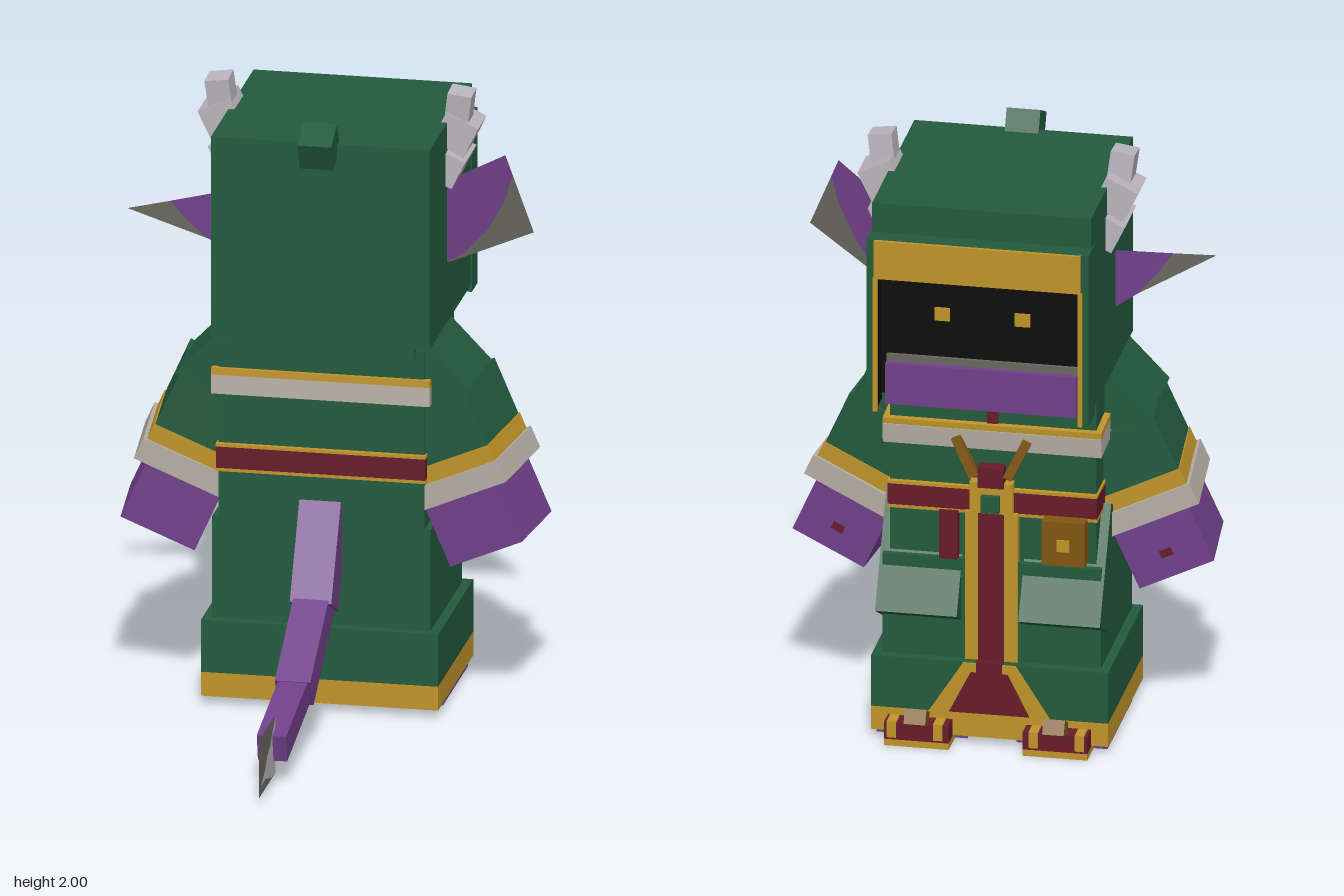
import * as THREE from 'three';

const paint = (name, color, side = THREE.FrontSide) => {
  const m = new THREE.MeshStandardMaterial({ color, side });
  m.name = name;
  return m;
};

export function createModel() {
  const green = paint('robe green', 0x235a3d);
  const gold = paint('gold trim', 0xc0942a);
  const red = paint('dark red', 0x661a28);
  const cream = paint('cream cuff', 0xb5aea4);
  const purple = paint('purple skin', 0x70408a, THREE.DoubleSide);
  const black = paint('hood black', 0x0c0c0c);
  const grey = paint('dark fur grey', 0x68675e, THREE.DoubleSide);
  const horn = paint('horn white', 0xbab3bc, THREE.DoubleSide);
  const bronze = paint('bronze', 0x80560f);

  const root = new THREE.Group();
  root.name = 'hoodedFigure';

  // Box from its minimum and maximum on each axis
  const box = (name, mat, [x0, x1], [y0, y1], [z0, z1], parent = root) => {
    const w = Math.abs(x1 - x0), h = y1 - y0, d = z1 - z0;
    const mesh = new THREE.Mesh(new THREE.BoxGeometry(w, h, d), mat);
    mesh.position.set((x0 + x1) / 2, (y0 + y1) / 2, (z0 + z1) / 2);
    mesh.name = name;
    parent.add(mesh);
    return mesh;
  };
  // Box given by centre, size and rotation
  const tilted = (name, mat, size, pos, rot = [0, 0, 0], parent = root) => {
    const mesh = new THREE.Mesh(new THREE.BoxGeometry(...size), mat);
    mesh.position.set(...pos);
    mesh.rotation.set(...rot);
    mesh.name = name;
    parent.add(mesh);
    return mesh;
  };
  const outline = pts => new THREE.Shape(pts.map(p => new THREE.Vector2(...p)));
  // Flat sheet whose corners are placed in space by a rule
  const sheet = (name, mat, pts, place) => {
    const geo = new THREE.ShapeGeometry(outline(pts));
    const p = geo.attributes.position;
    for (let i = 0; i < p.count; i++) p.setXYZ(i, ...place(p.getX(i), p.getY(i)));
    geo.computeVertexNormals();
    const mesh = new THREE.Mesh(geo, mat);
    mesh.name = name;
    root.add(mesh);
  };
  const prism = (name, mat, pts, z0, depth) => {
    const mesh = new THREE.Mesh(
      new THREE.ExtrudeGeometry(outline(pts), { depth, bevelEnabled: false }), mat);
    mesh.position.z = z0;
    mesh.name = name;
    root.add(mesh);
  };
  const sym = w => [-w, w];

  // Robe
  const hem = [green, gold].map((_, i) => i);
  box('hem', [gold, gold, gold, green, gold, gold], sym(0.385), [0.025, 0.105], [-0.67, -0.1]);
  box('lowerSkirt', green, sym(0.385), [0.105, 0.28], [-0.67, -0.1]);
  box('middleSkirt', green, sym(0.355), [0.28, 0.62], [-0.635, -0.13]);
  box('torso', green, sym(0.335), [0.62, 1.22], [-0.61, -0.13]);
  box('waistBelt', red, sym(0.34), [0.785, 0.86], [-0.625, -0.115]);
  for (const y of [0.778, 0.86])
    box('waistBeltTrim', gold, sym(0.341), [y, y + 0.01], [-0.627, -0.113]);
  tilted('chestBand', cream, [0.71, 0.065, 0.52], [0, 1.053, -0.37], [-0.07, 0, 0]);
  tilted('chestBandTrim', gold, [0.71, 0.022, 0.52], [0, 1.095, -0.37], [-0.07, 0, 0]);
  box('collarStrip', red, sym(0.018), [1.08, 1.23], [-0.617, -0.605]);

  // Sash down the middle of the robe
  box('sashBorder', gold, sym(0.085), [0.27, 0.79], [-0.643, -0.6]);
  box('sash', red, sym(0.042), [0.27, 0.79], [-0.648, -0.6]);
  prism('sashFootBorder', gold,
    [[-0.085, 0.28], [-0.2, 0.1], [0.2, 0.1], [0.085, 0.28]], -0.676, 0.008);
  prism('sashFoot', red,
    [[-0.06, 0.25], [-0.13, 0.11], [0.13, 0.11], [0.06, 0.25]], -0.681, 0.006);
  box('sashLink', red, sym(0.042), [0.25, 0.285], [-0.68, -0.63]);

  // Buckle, gem, pouch and strap
  box('buckle', gold, sym(0.07), [0.77, 0.895], [-0.648, -0.61]);
  box('buckleTop', red, sym(0.042), [0.88, 0.95], [-0.655, -0.605]);
  box('gem', green, sym(0.03), [0.8, 0.855], [-0.67, -0.64]);
  box('pouch', bronze, [-0.31, -0.17], [0.64, 0.79], [-0.675, -0.6]);
  box('pouchClasp', gold, [-0.26, -0.22], [0.69, 0.73], [-0.681, -0.674]);
  box('strap', red, [0.11, 0.17], [0.62, 0.785], [-0.64, -0.6]);

  // Head and hood
  box('hood', green, sym(0.355), [1.23, 1.9], [-0.78, -0.11]);
  box('hoodNape', green, sym(0.305), [1.19, 1.24], [-0.55, -0.11]);
  box('hoodBrow', green, sym(0.355), [1.8, 1.9], [-0.8, -0.77]);
  box('hoodRimTop', [green, green, green, black, green, green],
    sym(0.36), [1.67, 1.8], [-0.865, -0.775]);
  box('browBand', gold, sym(0.335), [1.67, 1.8], [-0.877, -0.864]);
  box('faceShadow', black, sym(0.336), [1.24, 1.68], [-0.785, -0.775]);
  box('mouthFur', grey, sym(0.31), [1.35, 1.38], [-0.795, -0.78]);
  box('muzzle', purple, sym(0.31), [1.215, 1.355], [-0.815, -0.55]);

  // Tuft on top of the hood
  tilted('hoodTuft', green, [0.11, 0.1, 0.11], [0, 1.9, -0.083], [0.44, 0, 0]);

  for (const s of [-1, 1]) {
    const span = (a, b) => [s * a, s * b];
    box('hoodRimSide', green, span(0.335, 0.36), [1.21, 1.8], [-0.865, -0.77]);
    box('hoodLining', black, span(0.329, 0.336), [1.215, 1.67], [-0.86, -0.775]);
    box('rimTrim', gold, span(0.325, 0.34), [1.21, 1.67], [-0.873, -0.86]);
    box('eye', gold, span(0.105, 0.155), [1.505, 1.55], [-0.79, -0.783]);

    // Stacked horn
    tilted('hornBase', horn, [0.09, 0.1, 0.19], [s * 0.355, 1.75, -0.467], [0, 0, -s * 0.45]);
    tilted('hornMiddle', horn, [0.115, 0.11, 0.14], [s * 0.38, 1.86, -0.465], [0, 0, -s * 0.45]);
    tilted('hornTip', horn, [0.078, 0.12, 0.085], [s * 0.387, 1.937, -0.442], [0.08, 0, -s * 0.13]);

    // Sloping shoulder cape
    const cape = [[0.1, 1.23], [0.345, 1.23], [0.48, 1.09], [0.3, 1.02], [0.1, 1.02]];
    prism('shoulderCape', green, cape.map(([x, y]) => [s * x, y]), -0.48, 0.34);

    // Arm: sleeve, trims and hand hang from the shoulder
    const arm = new THREE.Group();
    arm.name = 'arm';
    arm.position.set(s * 0.371, 1.048, -0.315);
    arm.rotation.set(0, -s * 0.1, s * 0.42, 'YZX');
    root.add(arm);
    box('sleeve', green, span(-0.14, 0.116), [-0.2, 0], sym(0.17), arm);
    box('sleeveTrim', gold, span(-0.165, 0.12), [-0.25, -0.195], sym(0.174), arm);
    box('cuff', cream, span(-0.18, 0.132), [-0.325, -0.25], sym(0.185), arm);
    box('hand', purple, span(-0.17, 0.09), [-0.53, -0.32], sym(0.162), arm);
    box('handMark', red, span(-0.06, -0.02), [-0.46, -0.435], [-0.166, -0.16], arm);

    // Flared coat flap beside the sash
    tilted('coatFlap', green, [0.265, 0.4, 0.15], [s * 0.2325, 0.59, -0.545], [0.49, 0, 0]);

    // Foot with armoured toe
    box('foot', purple, span(0.08, 0.375), [0, 0.04], [-0.63, -0.225]);
    box('toeSole', gold, span(0.12, 0.33), [0, 0.022], [-0.735, -0.62]);
    box('toeCap', red, span(0.12, 0.33), [0.022, 0.08], [-0.735, -0.62]);
    tilted('toeKnob', bronze, [0.07, 0.05, 0.06], [s * 0.225, 0.1, -0.73], [0.5, 0, 0]);
    for (const x of [0.14, 0.29])
      box('toeStud', gold, span(x, x + 0.03), [0.03, 0.085], [-0.74, -0.68]);

    // Raised prong above the buckle
    tilted('chestProng', bronze, [0.03, 0.14, 0.035], [s * 0.085, 0.98, -0.64], [0.1, 0, -s * 0.45]);
  }

  // Ears: thin sheets swept toward the tail
  const earPlace = (x, y) => [x, y, -0.395 + (Math.abs(x) - 0.355) * 0.38];
  sheet('earInner', purple, [[0.33, 1.42], [0.33, 1.69], [0.56, 1.83], [0.585, 1.77],
    [0.56, 1.68], [0.5, 1.57], [0.42, 1.48], [0.355, 1.43]], earPlace);
  sheet('earEdge', grey, [[0.56, 1.83], [0.66, 1.59], [0.355, 1.43], [0.42, 1.48],
    [0.5, 1.57], [0.56, 1.68], [0.585, 1.77]], earPlace);
  sheet('earInner', purple, [[-0.33, 1.63], [-0.33, 1.415], [-0.42, 1.47], [-0.48, 1.535],
    [-0.53, 1.602]], earPlace);
  sheet('earEdge', grey, [[-0.53, 1.602], [-0.48, 1.535], [-0.42, 1.47], [-0.66, 1.585]], earPlace);

  // Tail segments from root to end as [z, y] joints
  const joints = [[-0.16, 0.66], [-0.015, 0.39], [0.3, 0.2], [0.67, 0.125]];
  const widths = [0.135, 0.115, 0.095];
  widths.forEach((w, i) => {
    const [z0, y0] = joints[i], [z1, y1] = joints[i + 1];
    const len = Math.hypot(z1 - z0, y1 - y0) + (i < 2 ? 0.025 : 0);
    tilted('tailSegment', purple, [w, w * 0.95, len], [0, (y0 + y1) / 2, (z0 + z1) / 2],
      [Math.atan2(y0 - y1, z1 - z0), 0, 0]);
  });

  // Tail tuft: pale flame inside a dark sheet
  const side = x => (z, y) => [x, y, z];
  sheet('tailTuft', grey, [[0.63, 0.025], [0.88, 0.025], [0.88, 0.22], [0.63, 0.22]], side(0));
  const flame = [[0.63, 0.03], [0.7, 0.035], [0.78, 0.06], [0.865, 0.06], [0.8, 0.09],
    [0.76, 0.13], [0.71, 0.15], [0.67, 0.19], [0.63, 0.215]];
  for (const x of [-0.003, 0.003]) sheet('tailFlame', horn, flame, side(x));

  return root;
}
